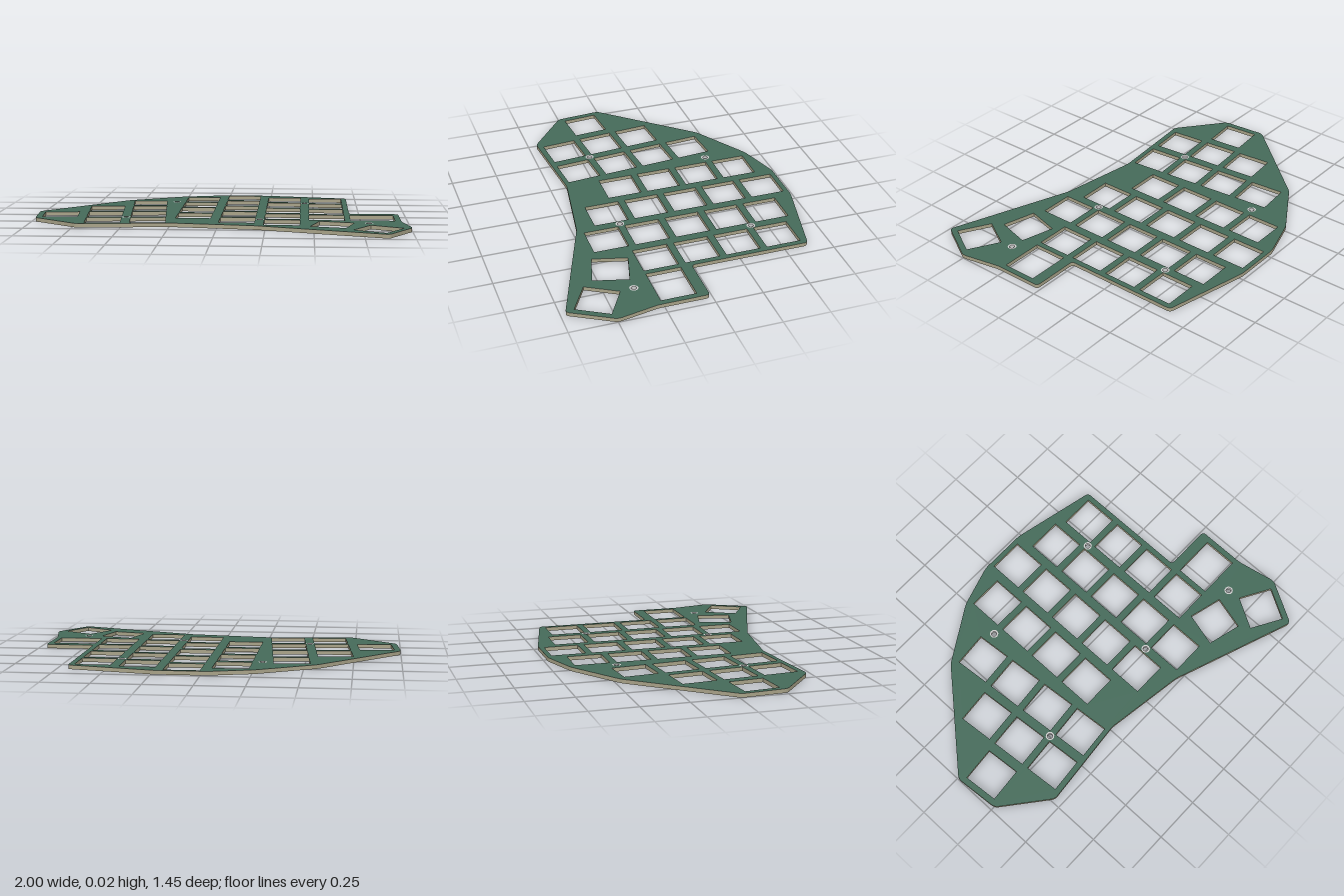
import * as THREE from 'three';

const THICKNESS = 0.021;
const KEY = 0.187;
const PITCH = 0.2235;
const RING = 0.023;

// Plate outline as [x, z]
const OUTLINE = [
  [-1.0, 0.01], [-0.98, 0.255], [-0.73, 0.458], [-0.235, 0.412], [0.2, 0.48],
  [0.87, 0.727], [1.0, 0.5], [0.957, 0.285], [0.957, 0.015], [0.693, 0.015],
  [0.693, -0.625], [0.23, -0.73], [-0.035, -0.73], [-0.265, -0.66], [-0.57, -0.475],
];

// Key columns: x and z of the rear key, number of keys, turn in degrees
const COLUMNS = [
  [-0.864, 0.123, 1, -5],
  [-0.647, -0.123, 3, -5],
  [-0.431, -0.363, 4, -5],
  [-0.14, -0.537, 4, 0],
  [0.098, -0.61, 5, 0],
  [0.334, -0.537, 5, 0],
  [0.57, -0.503, 4, 0],
  [0.596, 0.416, 1, 15],
  [0.826, 0.553, 1, 30],
];

const MOUNTS = [[-0.285, -0.422], [0.452, -0.405], [-0.5, 0.203], [0.216, 0.246], [0.786, 0.353]];

// Closed outline with softened corners; z is flipped into shape y
function roundedOutline(points, radius) {
  const shape = new THREE.Shape();
  const v = points.map(([x, z]) => new THREE.Vector2(x, -z));
  v.forEach((p, i) => {
    const toward = (q) => p.clone().add(q.clone().sub(p).setLength(radius));
    const a = toward(v[(i + v.length - 1) % v.length]);
    const b = toward(v[(i + 1) % v.length]);
    if (i === 0) shape.moveTo(a.x, a.y);
    else shape.lineTo(a.x, a.y);
    shape.quadraticCurveTo(p.x, p.y, b.x, b.y);
  });
  shape.closePath();
  return shape;
}

function keyHole(x, z, degrees, width = KEY) {
  const corners = [[-1, -1], [1, -1], [1, 1], [-1, 1]].map(([sx, sz]) =>
    new THREE.Vector2(sx * width / 2, -sz * KEY / 2)
      .rotateAround(new THREE.Vector2(), -THREE.MathUtils.degToRad(degrees))
      .add(new THREE.Vector2(x, -z)));
  return new THREE.Path(corners).closePath();
}

function circle(Type, x, z, radius) {
  return new Type().absarc(x, -z, radius, 0, Math.PI * 2, false);
}

// Extrudes upward from the ground
function slab(shape) {
  return new THREE.ExtrudeGeometry(shape, { depth: THICKNESS, bevelEnabled: false, curveSegments: 8 })
    .rotateX(-Math.PI / 2);
}

export function createModel() {
  const group = new THREE.Group();
  group.name = 'keyboardPlate';
  const green = new THREE.MeshStandardMaterial({ color: 0x456b5a });
  const tan = new THREE.MeshStandardMaterial({ color: 0xa8a288 });
  const metal = new THREE.MeshStandardMaterial({ color: 0xcccccc });

  // Board with its key cutouts
  const board = roundedOutline(OUTLINE, 0.022);
  for (const [x, z, count, degrees] of COLUMNS) {
    const a = THREE.MathUtils.degToRad(degrees);
    for (let i = 0; i < count; i++) {
      board.holes.push(keyHole(x - Math.sin(a) * PITCH * i, z + Math.cos(a) * PITCH * i, degrees));
    }
  }
  board.holes.push(keyHole(0.81, 0.167, 0, 0.233)); // wide key
  for (const [x, z] of MOUNTS) board.holes.push(circle(THREE.Path, x, z, RING));
  const plate = new THREE.Mesh(slab(board), [green, tan]);
  plate.name = 'plate';
  group.add(plate);

  // Rings around the screw holes
  for (const [x, z] of MOUNTS) {
    const shape = circle(THREE.Shape, x, z, RING);
    shape.holes.push(circle(THREE.Path, x, z, 0.014));
    const ring = new THREE.Mesh(slab(shape), metal);
    ring.name = 'mountRing';
    group.add(ring);
  }
  return group;
}
